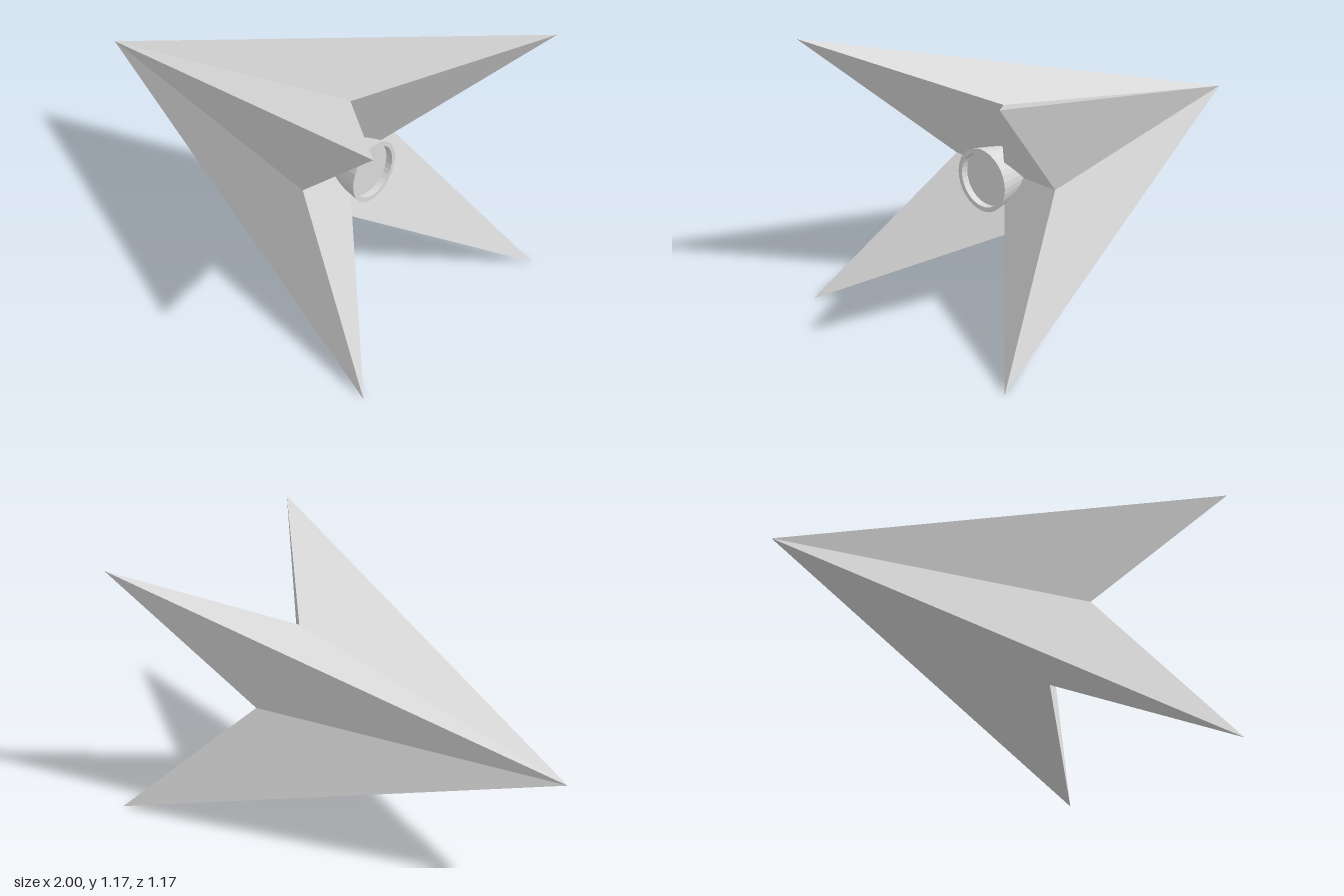
import * as THREE from 'three';

const CENTRE_Y = 0.583; // height of the long axis
const TIP = 0.583;      // fin tip offset in y and z
const VALLEY = 0.292;   // offset of the valleys between fins
const BACK_X = 0.417;   // valleys and tail centre share one plane

export function createModel() {
  const group = new THREE.Group();
  const grey = new THREE.MeshStandardMaterial({ color: 0xd9d9d9 });
  grey.name = 'light grey';

  // One fin: two long side faces and a tail folded along the line from centre to tip
  const nose = [-1, 0, 0];
  const tip = [1, TIP, TIP];
  const upper = [BACK_X, VALLEY, 0];
  const side = [BACK_X, 0, VALLEY];
  const back = [BACK_X, 0, 0];
  const faces = [
    nose, side, tip,
    nose, tip, upper,
    back, upper, tip,
    back, tip, side,
  ];
  const finGeometry = new THREE.BufferGeometry();
  finGeometry.setAttribute('position', new THREE.Float32BufferAttribute(faces.flat(), 3));
  finGeometry.computeVertexNormals();

  // Both halves of the tail are shaded as a single face
  const tailNormal = new THREE.Vector3(2, -1, -1).normalize();
  for (let i = 6; i < 12; i++) {
    finGeometry.attributes.normal.setXYZ(i, tailNormal.x, tailNormal.y, tailNormal.z);
  }

  const hull = new THREE.Group();
  hull.name = 'hull';
  for (let i = 0; i < 4; i++) {
    const fin = new THREE.Mesh(finGeometry, grey);
    fin.name = 'fin' + (i + 1);
    fin.rotation.x = i * Math.PI / 2;
    hull.add(fin);
  }
  hull.position.y = CENTRE_Y;
  group.add(hull);

  // Flared, faceted nozzle with a rim and a shallow recessed end
  const profile = [[0.108, 0.41], [0.137, 0.553], [0.117, 0.553], [0.117, 0.523], [0, 0.523]]
    .map(([r, x]) => new THREE.Vector2(r, x));
  const nozzleGeometry = new THREE.LatheGeometry(profile, 32).toNonIndexed();
  nozzleGeometry.computeVertexNormals();
  const nozzle = new THREE.Mesh(nozzleGeometry, grey);
  nozzle.name = 'nozzle';
  nozzle.rotation.z = -Math.PI / 2;
  nozzle.position.set(0, CENTRE_Y, -0.003);
  group.add(nozzle);

  return group;
}
